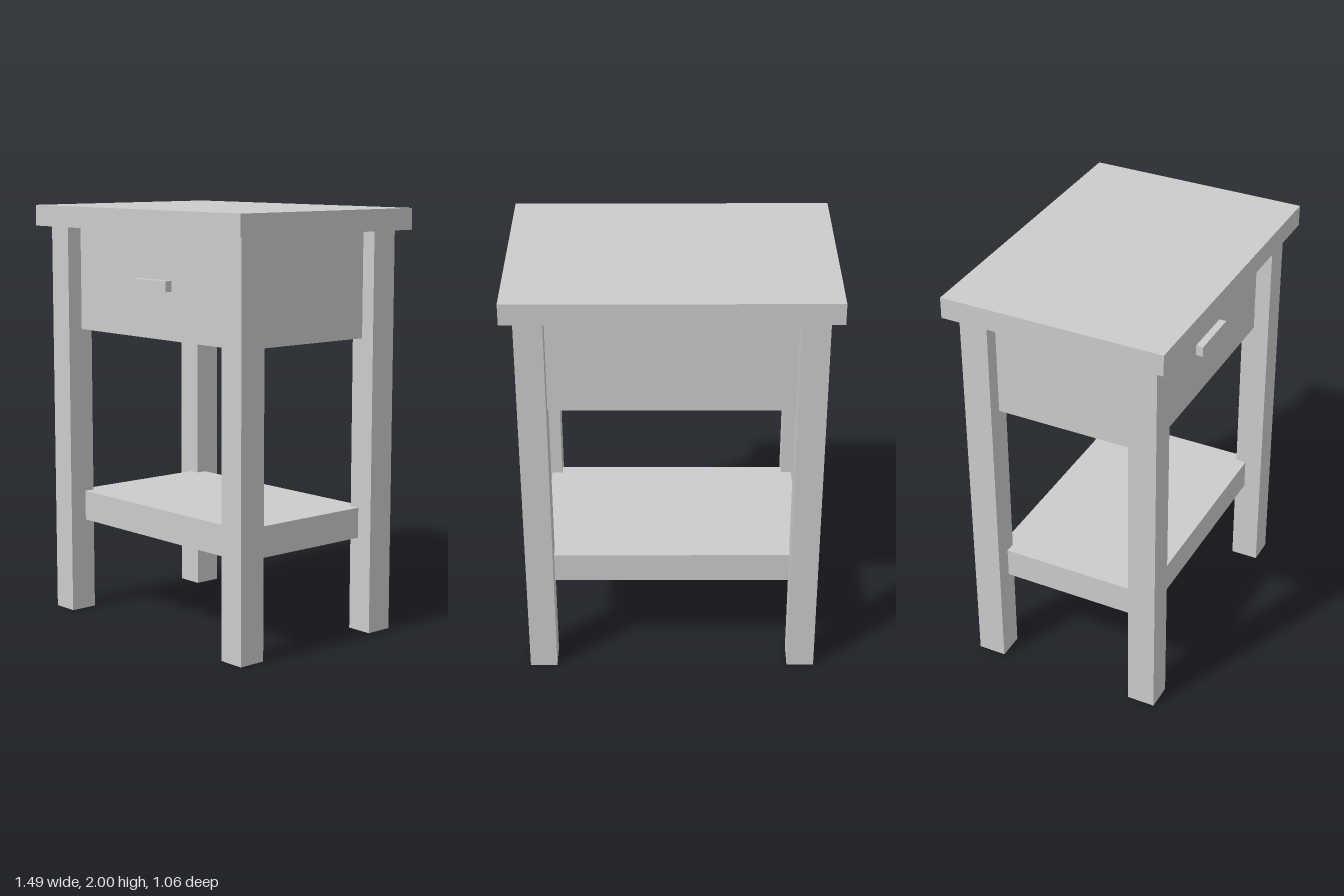
import * as THREE from 'three';

const solid = new THREE.MeshStandardMaterial({ color: 0xcccccc, flatShading: true });
const open = new THREE.MeshStandardMaterial({ color: 0xcccccc, flatShading: true, side: THREE.DoubleSide });

// Box resting on height y, centred on x = 0
function slab(name, width, height, depth, y, z = 0) {
  const mesh = new THREE.Mesh(new THREE.BoxGeometry(width, height, depth), solid);
  mesh.name = name;
  mesh.position.set(0, y + height / 2, z);
  return mesh;
}

// Square hollow post, open at the foot
function legGeometry(width, height, depth) {
  const geometry = new THREE.CylinderGeometry(Math.SQRT1_2, Math.SQRT1_2, 1, 4, 1, true);
  geometry.rotateY(Math.PI / 4);
  geometry.scale(width, height, depth);
  geometry.translate(0, height / 2, 0);
  return geometry;
}

export function createModel() {
  const table = new THREE.Group();
  table.name = 'bedsideTable';

  // Top board, drawer box with its pull, and lower shelf
  table.add(
    slab('tabletop', 1.49, 0.1, 1.06, 1.9),
    slab('drawerBox', 1.24, 0.5, 0.8, 1.4),
    slab('drawerHandle', 0.256, 0.05, 0.035, 1.625, 0.4175),
    slab('shelf', 1.22, 0.145, 0.78, 0.45),
  );

  // Four legs, mirrored to the corners
  const post = legGeometry(0.13, 1.9, 0.135);
  for (const [sx, side] of [[1, 'Left'], [-1, 'Right']]) {
    for (const [sz, end] of [[1, 'front'], [-1, 'back']]) {
      const leg = new THREE.Mesh(post, open);
      leg.name = `${end}${side}Leg`;
      leg.position.set(sx * 0.625, 0, sz * 0.4075);
      table.add(leg);
    }
  }
  return table;
}
